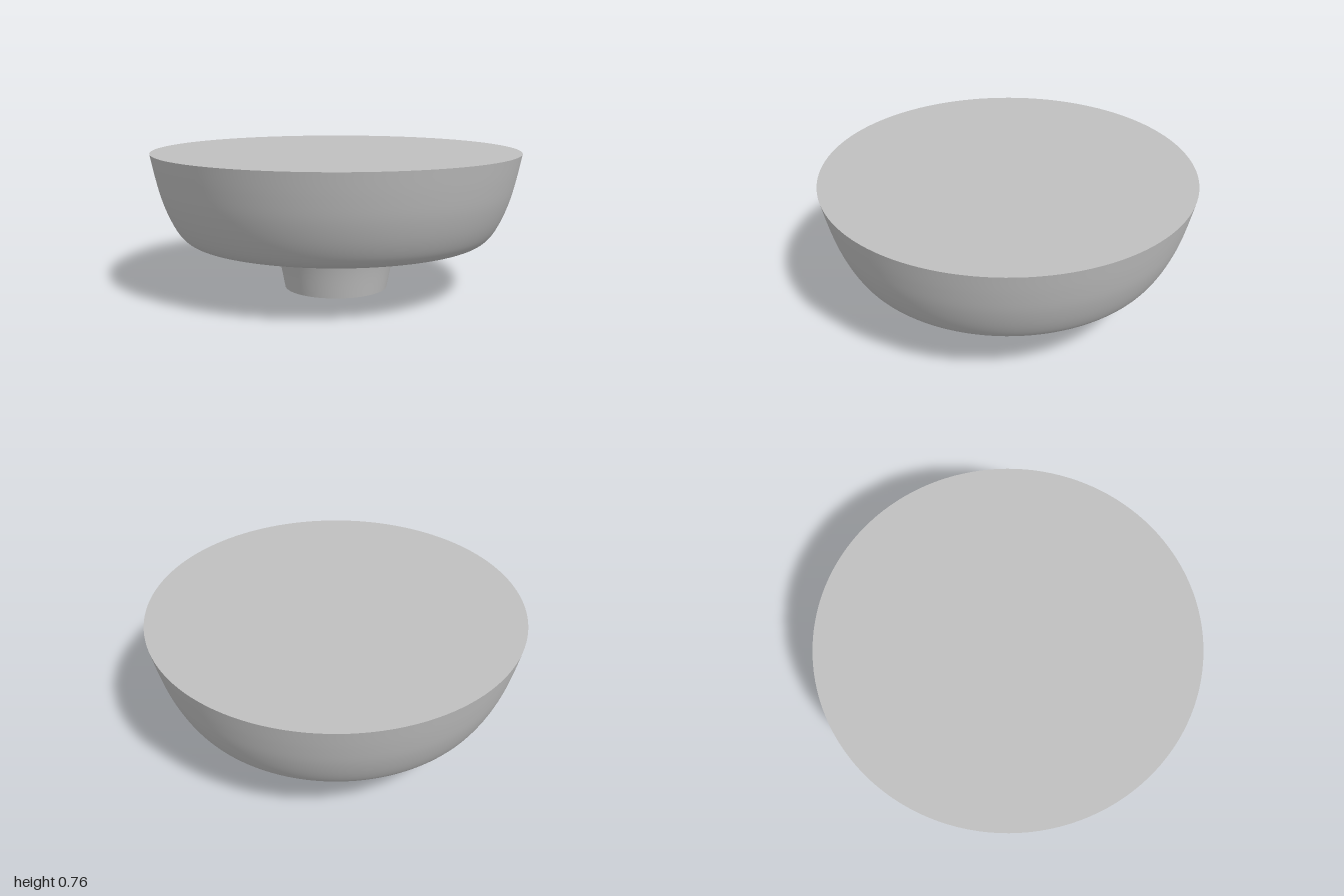
import * as THREE from 'three';

// Smooth curve through [radius, height] points
function smoothProfile(points, samples) {
  const curve = new THREE.SplineCurve(points.map(([r, y]) => new THREE.Vector2(r, y)));
  return curve.getPoints(samples);
}

export function createModel() {
  const group = new THREE.Group();
  const SEGMENTS = 128;
  const grey = new THREE.MeshStandardMaterial({ color: 0xc0c0c0 });
  grey.name = 'plain grey';

  function add(name, geometry) {
    const mesh = new THREE.Mesh(geometry, grey);
    mesh.name = name;
    group.add(mesh);
    return mesh;
  }

  // Turned body: stem, flare into the hollow underside, rounded rim, outer wall
  const profile = smoothProfile([
    [0.285, 0], [0.315, 0.15], [0.355, 0.29], [0.39, 0.38], [0.43, 0.455],
    [0.49, 0.505], [0.55, 0.49], [0.63, 0.43], [0.70, 0.355], [0.75, 0.306],
    [0.79, 0.29], [0.825, 0.302], [0.865, 0.345], [0.908, 0.425],
    [0.947, 0.53], [0.976, 0.645], [1.0, 0.763],
  ], 96);
  add('turnedBody', new THREE.LatheGeometry(profile, SEGMENTS));

  // Flat top face
  const top = add('topFace', new THREE.CircleGeometry(1, SEGMENTS));
  top.rotation.x = -Math.PI / 2;
  top.position.y = 0.763;

  // Flat end of the stem
  const foot = add('stemEnd', new THREE.CircleGeometry(0.285, SEGMENTS));
  foot.rotation.x = Math.PI / 2;

  return group;
}
